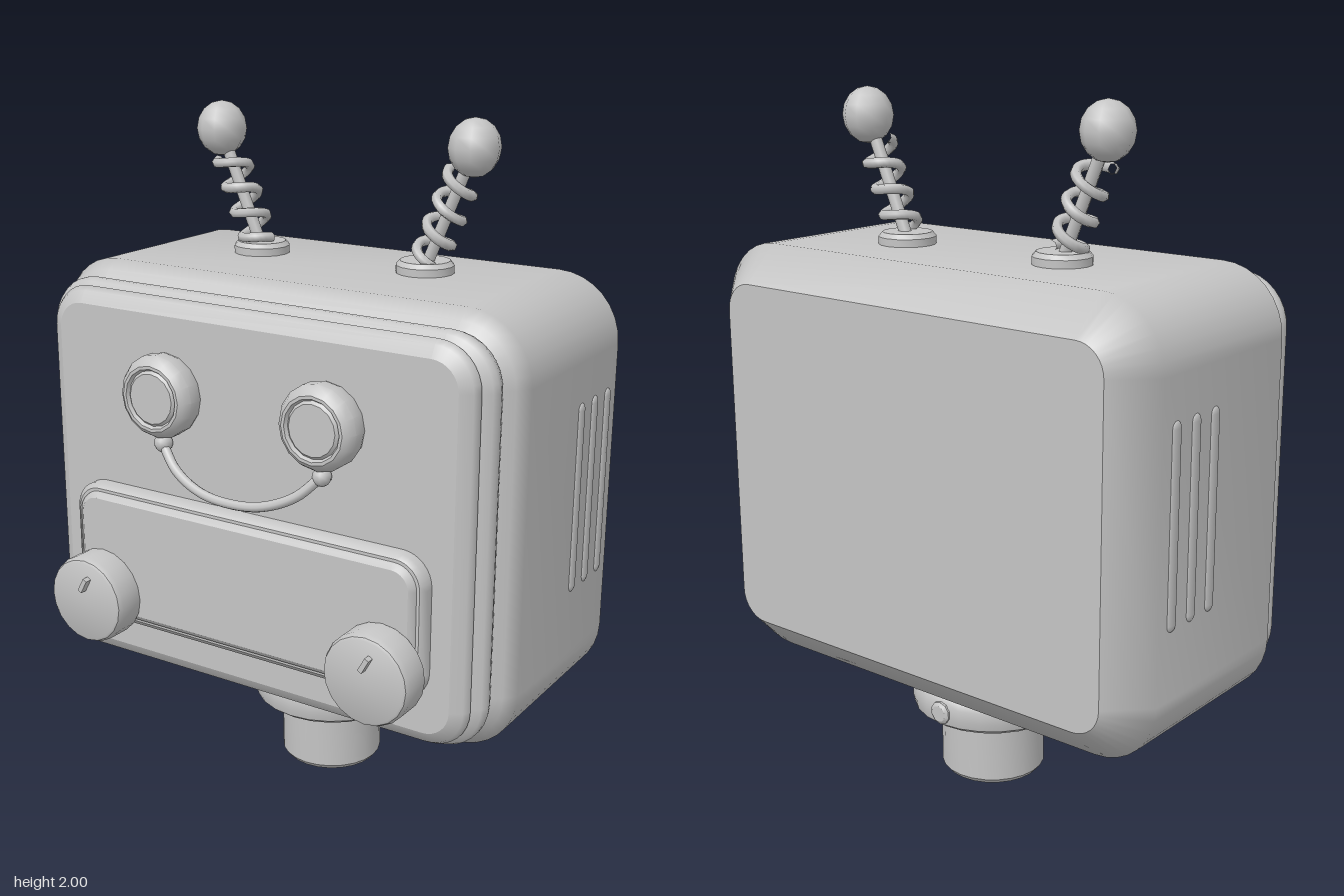
import * as THREE from 'three';
import { toCreasedNormals } from 'three/addons/utils/BufferGeometryUtils.js';

const grey = new THREE.MeshStandardMaterial({ color: 0xc4c4c4 });
grey.name = 'plain grey';

function add(parent, name, geometry, x = 0, y = 0, z = 0) {
  const mesh = new THREE.Mesh(geometry, grey);
  mesh.name = name;
  mesh.position.set(x, y, z);
  parent.add(mesh);
  return mesh;
}

// Rounded rectangle lofted along z; profile rows are [z, inset], both ends capped
function roundedLoft(halfW, halfH, radius, profile, steps = 8) {
  const pos = [], idx = [];
  const n = 4 * (steps + 1);
  const ring = ([z, inset]) => {
    const r = Math.max(radius - inset, 0.005);
    for (let c = 0; c < 4; c++) {
      const sx = c === 0 || c === 3 ? 1 : -1, sy = c < 2 ? 1 : -1;
      for (let i = 0; i <= steps; i++) {
        const a = (c + i / steps) * Math.PI / 2;
        pos.push(sx * (halfW - radius) + r * Math.cos(a), sy * (halfH - radius) + r * Math.sin(a), z);
      }
    }
  };
  profile.forEach(ring);
  for (let k = 0; k < profile.length - 1; k++) {
    for (let i = 0; i < n; i++) {
      const a = k * n + i, b = k * n + (i + 1) % n;
      idx.push(a, b, b + n, a, b + n, a + n);
    }
  }
  // Caps keep their own vertices so their rims stay sharp
  [[profile[0], false], [profile[profile.length - 1], true]].forEach(([row, front]) => {
    const s = pos.length / 3;
    ring(row);
    for (let i = 1; i < n - 1; i++) {
      if (front) idx.push(s, s + i, s + i + 1);
      else idx.push(s, s + i + 1, s + i);
    }
  });
  const g = new THREE.BufferGeometry();
  g.setAttribute('position', new THREE.Float32BufferAttribute(pos, 3));
  g.setIndex(idx);
  g.computeVertexNormals();
  return g;
}

// Turned part from [radius, height] rows
function turned(rows, sides, alongZ = false) {
  const g = new THREE.LatheGeometry(rows.map(([r, h]) => new THREE.Vector2(r, h)), sides);
  if (alongZ) g.rotateX(Math.PI / 2);
  return toCreasedNormals(g, 0.6);
}

class Coil extends THREE.Curve {
  getPoint(t, target = new THREE.Vector3()) {
    const a = t * Math.PI * 2 * 3.5;
    return target.set(0.045 * Math.cos(a), 0.02 + 0.27 * t, 0.045 * Math.sin(a));
  }
}

export function createModel() {
  const model = new THREE.Group();
  model.name = 'robotHead';
  const cy = 0.945;

  // Head shell and stepped front frame
  add(model, 'headShell', roundedLoft(0.768, 0.62, 0.19,
    [[-0.503, 0.105], [-0.4, 0], [0.16, 0], [0.195, 0.028], [0.22, 0.06]]), 0, cy);
  add(model, 'frameBand', roundedLoft(0.725, 0.58, 0.145,
    [[0.213, 0.03], [0.225, 0.007], [0.245, 0], [0.26, 0], [0.275, 0.008], [0.288, 0.032]]), 0, cy);
  add(model, 'facePlate', roundedLoft(0.695, 0.565, 0.125,
    [[0.28, 0.01], [0.295, 0], [0.315, 0.012], [0.333, 0.045]]), 0, cy);

  // Mouth panel
  add(model, 'mouthRim', roundedLoft(0.59, 0.212, 0.09,
    [[0.325, 0], [0.36, 0], [0.372, 0.015]]), 0, 0.73);
  add(model, 'mouthPanel', roundedLoft(0.568, 0.19, 0.07,
    [[0.365, 0], [0.38, 0.004], [0.389, 0.018]]), 0, 0.73);

  // Smile wire
  const smile = new THREE.CatmullRomCurve3([
    [-0.265, 1.105, 0.36], [-0.2, 1.043, 0.386], [-0.105, 1.002, 0.404], [0, 0.99, 0.408],
    [0.105, 1.002, 0.404], [0.2, 1.043, 0.386], [0.265, 1.105, 0.36],
  ].map((p) => new THREE.Vector3(...p)));
  add(model, 'smile', new THREE.TubeGeometry(smile, 32, 0.014, 8));

  const eye = turned([[0, 0.32], [0.112, 0.32], [0.12, 0.345], [0.12, 0.38], [0.108, 0.4],
    [0.095, 0.41], [0.086, 0.41], [0.08, 0.4], [0.072, 0.408], [0, 0.408]], 16, true);
  const knob = turned([[0, 0.38], [0.12, 0.38], [0.132, 0.392], [0.132, 0.465],
    [0.125, 0.48], [0.118, 0.484], [0, 0.484]], 20, true);
  const slat = new THREE.CapsuleGeometry(0.02, 0.515, 4, 8).scale(0.4, 1, 1);
  const base = turned([[0, -0.01], [0.083, -0.01], [0.083, 0.022], [0.072, 0.035], [0, 0.035]], 16);
  const coil = new THREE.TubeGeometry(new Coil(), 80, 0.015, 6);

  for (const s of [-1, 1]) {
    const side = s > 0 ? 'left' : 'right';
    add(model, side + 'Eye', eye, s * 0.265, 1.245);
    add(model, side + 'SmileEnd', new THREE.SphereGeometry(0.027, 10, 8), s * 0.265, 1.105, 0.357);

    // Dial with pointer
    add(model, side + 'Knob', knob, s * 0.476, 0.615);
    const pointer = add(model, side + 'KnobPointer',
      new THREE.BoxGeometry(0.014, 0.045, 0.03), s * 0.476 + 0.01, 0.672, 0.49);
    pointer.rotation.z = -0.5;

    // Side vents
    for (const z of [-0.165, -0.253, -0.342]) add(model, side + 'Vent', slat, s * 0.767, 0.982, z);

    // Spring antenna
    add(model, side + 'AntennaBase', base, s * 0.278, 1.565, -0.158);
    const antenna = new THREE.Group();
    antenna.name = side + 'Antenna';
    antenna.position.set(s * 0.278, 1.575, -0.158);
    antenna.rotation.z = -s * 0.395;
    add(antenna, 'rod', new THREE.CylinderGeometry(0.018, 0.018, 0.36, 8), 0, 0.18);
    add(antenna, 'spring', coil);
    model.add(antenna);
    add(model, side + 'AntennaBall',
      new THREE.SphereGeometry(0.074, 10, 8).scale(1, 1.09, 1), s * 0.42, 1.92, -0.16);
  }

  // Neck, collar and three bolts
  const neck = new THREE.Group();
  neck.name = 'neck';
  neck.position.z = -0.12;
  add(neck, 'neckPost', turned([[0, 0], [0.142, 0], [0.154, 0.015], [0.154, 0.23], [0, 0.23]], 24));
  add(neck, 'collar', turned([[0, 0.198], [0.215, 0.198], [0.235, 0.213], [0.24, 0.235],
    [0.24, 0.27], [0.232, 0.29], [0.212, 0.304], [0, 0.304]], 24));
  for (let i = 0; i < 3; i++) {
    const a = Math.PI / 6 + i * Math.PI * 2 / 3;
    const bolt = add(neck, 'collarBolt', turned([[0, -0.03], [0.034, -0.03], [0.034, 0.01],
      [0.024, 0.017], [0, 0.017]], 10, true), 0.232 * Math.cos(a), 0.25, 0.232 * Math.sin(a));
    bolt.rotation.y = Math.PI / 2 - a;
  }
  model.add(neck);
  return model;
}
